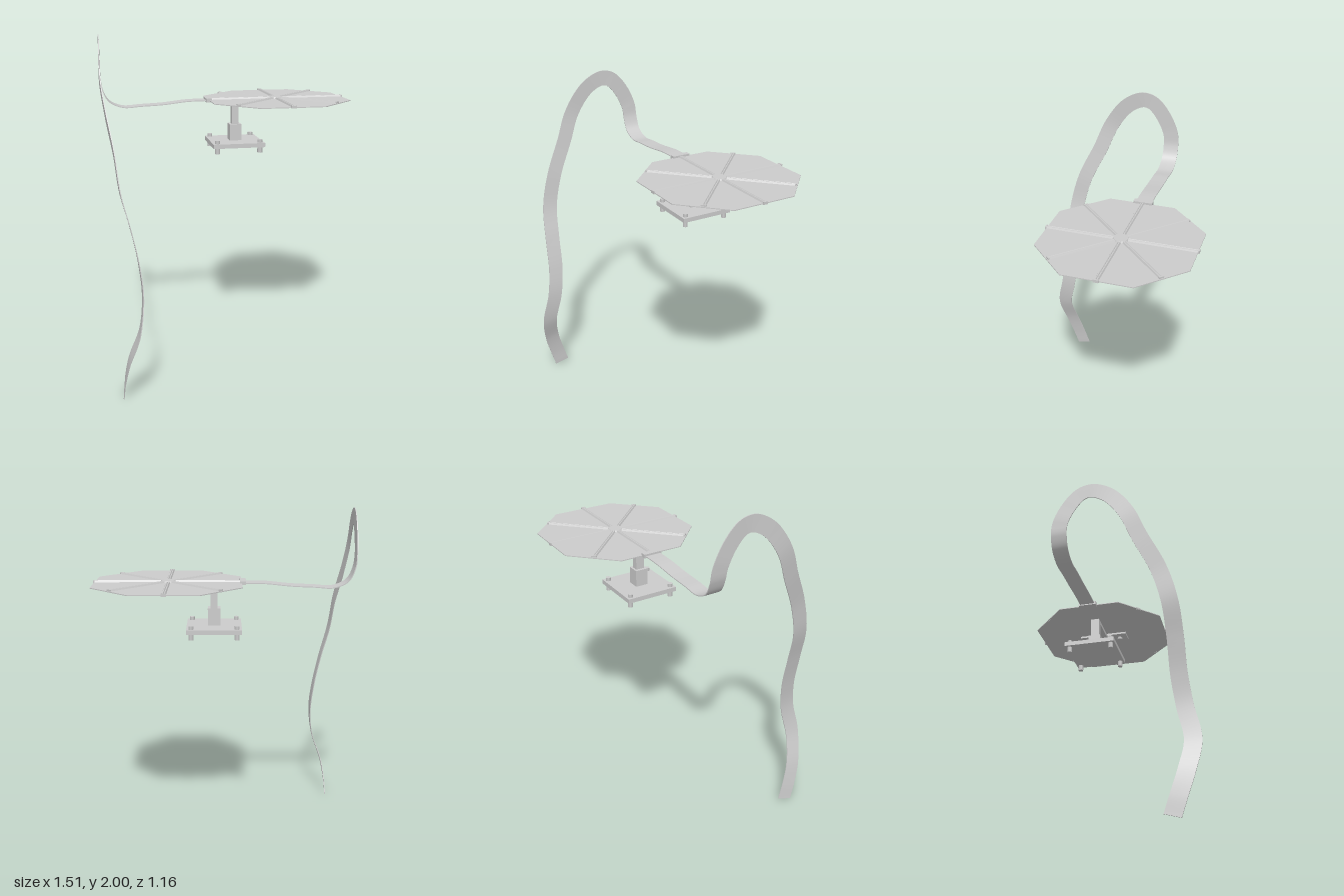
import * as THREE from 'three';

const mat = new THREE.MeshStandardMaterial({ color: 0xcccccc });
const CX = 0.327, CZ = -0.156; // centre of the panel
const PX = 0.068, PZ = -0.15; // centre of the mounting post

function add(parent, name, geometry, x = 0, y = 0, z = 0) {
  const mesh = new THREE.Mesh(geometry, mat);
  mesh.name = name;
  mesh.position.set(x, y, z);
  parent.add(mesh);
  return mesh;
}
const box = (w, h, d) => new THREE.BoxGeometry(w, h, d);
const cyl = (r, h, n = 24) => new THREE.CylinderGeometry(r, r, h, n);

// Outline given as [x, y] pairs, extruded along +z
const prism = (outline, depth) => new THREE.ExtrudeGeometry(
  new THREE.Shape(outline.map(([x, y]) => new THREE.Vector2(x, y))), { depth, bevelEnabled: false });

// Flat strap: rectangular cross-sections swept along a curve
function strapGeometry(points, bendEnd, width, thick, steps) {
  const curve = new THREE.CatmullRomCurve3(points.map(p => new THREE.Vector3(...p)));
  const tBend = bendEnd / (points.length - 1);
  const sections = [];
  for (let i = 0; i <= steps; i++) {
    const t = i / steps;
    const p = curve.getPoint(t), T = curve.getTangent(t);
    // the first run lies flat and curls upwards, the rest faces sideways and twists a little at its end
    const guide = t < tBend
      ? new THREE.Vector3(T.y, -T.x, 0)
      : new THREE.Vector3(1, 0, 0.12 * THREE.MathUtils.smoothstep(t, 0.85, 1));
    const W = T.clone().cross(guide).normalize();
    const N = W.clone().cross(T).normalize();
    sections.push([[1, 1], [-1, 1], [-1, -1], [1, -1]].map(([a, b]) =>
      p.clone().addScaledVector(W, a * width / 2).addScaledVector(N, b * thick / 2)));
  }
  const pos = [], index = [];
  // each of the four sides has its own vertices, so its edges stay sharp
  for (let s = 0; s < 4; s++) {
    const base = pos.length / 3;
    for (const c of sections) pos.push(...c[s].toArray(), ...c[(s + 1) % 4].toArray());
    for (let i = 0; i < steps; i++) {
      const a = base + i * 2;
      index.push(a, a + 2, a + 1, a + 1, a + 2, a + 3);
    }
  }
  // end faces
  for (const [k, order] of [[0, [0, 1, 2, 0, 2, 3]], [steps, [0, 2, 1, 0, 3, 2]]]) {
    const b = pos.length / 3;
    for (const v of sections[k]) pos.push(...v.toArray());
    index.push(...order.map(j => b + j));
  }
  const g = new THREE.BufferGeometry();
  g.setAttribute('position', new THREE.Float32BufferAttribute(pos, 3));
  g.setIndex(index);
  g.computeVertexNormals();
  return g;
}

function createPanel() {
  const g = new THREE.Group();
  g.name = 'panel';
  g.position.set(CX, 1.6, CZ);

  // Octagonal plate
  const A = 0.417, B = 0.19;
  const plate = prism([[A, B], [B, A], [-B, A], [-A, B], [-A, -B], [-B, -A], [B, -A], [A, -B]], 0.005);
  plate.rotateX(-Math.PI / 2);
  add(g, 'octagonPlate', plate, 0, -0.004, 0);

  // Eight radial ribs: sloped sides, a groove along the top and an end cap
  const ribOutline = [[-0.013, 0], [0.013, 0], [0.008, 0.01], [0.003, 0.01], [0, 0.005], [-0.003, 0.01], [-0.008, 0.01]];
  const ribGeometry = prism(ribOutline, 0.42);
  ribGeometry.rotateY(Math.PI / 2);
  for (let i = 0; i < 8; i++) {
    const rib = new THREE.Group();
    rib.name = 'rib';
    rib.rotation.y = i * Math.PI / 4;
    add(rib, 'ribBar', ribGeometry);
    if (i !== 4) add(rib, 'ribEndCap', box(0.008, 0.016, 0.028), 0.42, 0.002, 0);
    g.add(rib);
  }
  add(g, 'hub', new THREE.CylinderGeometry(0.04, 0.045, 0.011, 32), 0, 0.0055, 0);
  return g;
}

function createMount() {
  const g = new THREE.Group();
  g.name = 'mount';

  // Base plate with four hexagonal bolts
  add(g, 'basePlate', box(0.315, 0.026, 0.315), PX, 1.34, PZ);
  for (const sx of [-1, 1]) for (const sz of [-1, 1])
    add(g, 'bolt', cyl(0.016, 0.08, 6), PX + sx * 0.13, 1.332, PZ + sz * 0.132);

  // Post and horizontal arm
  add(g, 'postSleeve', box(0.072, 0.1, 0.076), PX, 1.402, PZ);
  add(g, 'post', box(0.038, 0.13, 0.052), PX, 1.513, PZ);
  add(g, 'arm', box(0.26, 0.02, 0.052), PX + 0.111, 1.568, PZ);

  // Tapered bracket below the panel
  const bracket = prism([[-0.032, 1.545], [0.032, 1.545], [0.047, 1.56], [0.047, 1.59], [-0.047, 1.59], [-0.047, 1.56]], 0.1);
  bracket.rotateY(Math.PI / 2);
  add(g, 'bracket', bracket, 0.286, 0, PZ);

  // Flange screwed to the underside of the panel
  add(g, 'flange', box(0.1, 0.012, 0.31), 0.336, 1.59, CZ);
  for (const s of [-1, 1])
    add(g, 'flangeScrew', cyl(0.016, 0.016, 6), 0.336, 1.578, CZ + s * 0.105);
  return g;
}

export function createModel() {
  const model = new THREE.Group();
  model.name = 'model';
  model.add(createPanel(), createMount());

  // Clip joining the strap to the panel
  add(model, 'strapClip', box(0.034, 0.022, 0.11), -0.096, 1.602, -0.16);

  // Long hanging strap
  const path = [
    [-0.09, 1.6, -0.16], [-0.22, 1.598, -0.16], [-0.37, 1.583, -0.158], [-0.5, 1.577, -0.158],
    [-0.61, 1.573, -0.16], [-0.69, 1.61, -0.161], [-0.725, 1.68, -0.161], [-0.735, 1.76, -0.153],
    [-0.738, 1.87, -0.1], [-0.74, 1.94, -0.035], [-0.742, 1.955, 0.02], [-0.745, 1.938, 0.078],
    [-0.749, 1.885, 0.15], [-0.751, 1.76, 0.238], [-0.732, 1.6, 0.306], [-0.7, 1.4, 0.4],
    [-0.678, 1.2, 0.453], [-0.63, 1, 0.47], [-0.591, 0.8, 0.477], [-0.576, 0.62, 0.5],
    [-0.6, 0.43, 0.537], [-0.66, 0.25, 0.508], [-0.684, 0.12, 0.47], [-0.693, 0.014, 0.437],
  ];
  add(model, 'strap', strapGeometry(path, 6.6, 0.092, 0.005, 240));
  return model;
}
